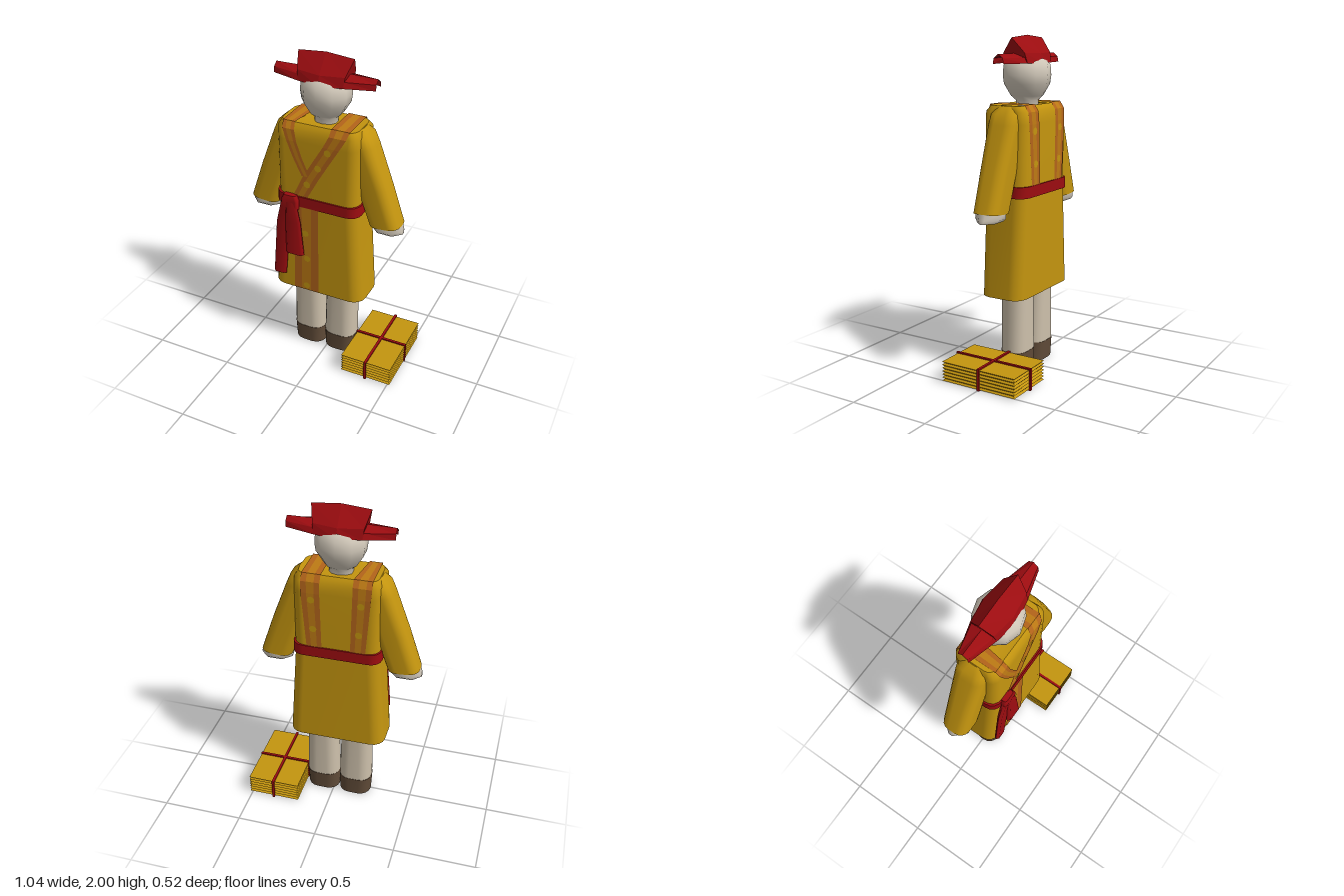
import * as THREE from 'three';

const mat = (name, color, side = THREE.FrontSide) => {
  const m = new THREE.MeshStandardMaterial({ color, side });
  m.name = name;
  return m;
};

const CX = -0.03; // centre line of the figure

// Rounded rectangle outline around a ring's centre
function outline({ y, cx, cz, hw, hd, r, tilt = 0 }, steps = 4) {
  const pts = [];
  r = Math.min(r, hw, hd);
  for (let c = 0; c < 4; c++) {
    const sx = c === 0 || c === 3 ? 1 : -1, sz = c < 2 ? 1 : -1;
    for (let i = 0; i <= steps; i++) {
      const a = (c + i / steps) * Math.PI / 2;
      const dx = sx * (hw - r) + r * Math.cos(a), dz = sz * (hd - r) + r * Math.sin(a);
      pts.push([cx + dx, y + tilt * dx, cz + dz]);
    }
  }
  return pts;
}

// Skin over rings listed from bottom to top, with optional end caps
function loft(rings, { top = true, bottom = true, topY = null, steps = 4 } = {}) {
  const loops = rings.map(r => outline(r, steps)), n = loops[0].length;
  const pos = loops.flat(2), idx = [];
  for (let j = 0; j < loops.length - 1; j++) for (let i = 0; i < n; i++) {
    const a = j * n + i, b = j * n + (i + 1) % n;
    idx.push(a, a + n, b, a + n, b + n, b);
  }
  const cap = (k, up) => {
    const base = pos.length / 3, g = rings[k];
    pos.push(...loops[k].flat(), g.cx, up && topY !== null ? topY : g.y, g.cz);
    for (let i = 0; i < n; i++) {
      const a = base + i, b = base + (i + 1) % n;
      idx.push(base + n, ...(up ? [b, a] : [a, b]));
    }
  };
  if (top) cap(rings.length - 1, true);
  if (bottom) cap(0, false);
  const geo = new THREE.BufferGeometry();
  geo.setAttribute('position', new THREE.Float32BufferAttribute(pos, 3));
  geo.setIndex(idx);
  geo.computeVertexNormals();
  return geo;
}

// Open sheet through equal-length rows of points
function sheet(rows) {
  const n = rows[0].length, idx = [];
  for (let j = 0; j < rows.length - 1; j++) for (let i = 0; i < n - 1; i++) {
    const a = j * n + i;
    idx.push(a, a + 1, a + n, a + 1, a + n + 1, a + n);
  }
  let geo = new THREE.BufferGeometry();
  geo.setAttribute('position', new THREE.Float32BufferAttribute(rows.flat(2), 3));
  geo.setIndex(idx);
  geo = geo.toNonIndexed();
  geo.computeVertexNormals();
  return geo;
}

// Robe profile: height, half width, front z, back z, corner radius
const ROBE = [
  [0.48, 0.3, 0.155, -0.132, 0.08], [1.1, 0.257, 0.152, -0.132, 0.07], [1.5, 0.255, 0.15, -0.132, 0.06],
  [1.57, 0.252, 0.145, -0.127, 0.05], [1.605, 0.235, 0.12, -0.1, 0.05],
];
const ring = ([y, hw, f, b, r], grow = 0) =>
  ({ y, cx: CX, cz: (f + b) / 2, hw: hw + grow, hd: (f - b) / 2 + grow, r });
function robeZ(y, k) {
  const i = Math.max(1, ROBE.findIndex(p => p[0] >= y)), p = ROBE[i - 1], q = ROBE[i];
  return THREE.MathUtils.lerp(p[k], q[k], (y - p[0]) / (q[0] - p[0]));
}

export function createModel() {
  const D = THREE.DoubleSide;
  const gold = mat('gold cloth', 0xc4950f, D), orange = mat('orange trim', 0xbd7a14, D);
  const rust = mat('rust trim edge', 0xb3641a, D), red = mat('red cloth', 0x9c0c10, D);
  const skin = mat('pale skin', 0xd2c9ba), linen = mat('linen', 0xcdc0ab), brown = mat('brown shoe', 0x604b38);
  const model = new THREE.Group();
  const add = (name, geo, m, x = 0, y = 0, z = 0) => {
    const mesh = new THREE.Mesh(geo, m);
    mesh.name = name;
    mesh.position.set(x, y, z);
    model.add(mesh);
    return mesh;
  };

  // Robe, with an open hem
  add('robe', loft(ROBE.map(p => ring(p)), { bottom: false, topY: 1.59 }), gold);

  // Sleeves, hands, legs and shoes on both sides
  for (const [s, side] of [[1, 'left'], [-1, 'right']]) {
    const limb = (y, inner, outer, hd, r, tilt = 0, cz = 0) =>
      ({ y, cx: CX + s * (inner + outer) / 2, cz, hw: (outer - inner) / 2, hd, r, tilt: s * tilt });
    add(side + 'Sleeve', loft([
      limb(1.012, 0.295, 0.485, 0.085, 0.06, 0.08), limb(1.25, 0.21, 0.405, 0.088, 0.06, 0.05),
      limb(1.5, 0.13, 0.312, 0.095, 0.06), limb(1.56, 0.13, 0.287, 0.092, 0.06), limb(1.602, 0.13, 0.24, 0.065, 0.05),
    ]), gold);
    add(side + 'Hand', loft([
      limb(0.965, 0.305, 0.495, 0.06, 0.05), limb(0.985, 0.3, 0.493, 0.08, 0.06), limb(1.016, 0.3, 0.482, 0.082, 0.06, 0.08),
    ], { steps: 1 }), skin);
    add(side + 'Leg', loft([limb(0.12, 0.003, 0.21, 0.083, 0.07), limb(0.56, 0.014, 0.206, 0.083, 0.07)]), linen);
    add(side + 'Shoe', loft([limb(0, 0.003, 0.206, 0.08, 0.07), limb(0.12, 0.003, 0.211, 0.085, 0.07)]), brown);
  }

  // Head and neck
  const profile = [[0.07, 1.57], [0.07, 1.625], [0.1, 1.65], [0.143, 1.72], [0.15, 1.77], [0.145, 1.83], [0.1, 1.875], [0, 1.9]]
    .map(p => new THREE.Vector2(...p));
  add('head', new THREE.LatheGeometry(profile, 10), skin, CX).scale.z = 0.93;

  // Folded hat: base x, shoulder x, ridge x, half depth, shoulder y, ridge y
  const half = [
    [0.31, 0.31, 0.31, 0.035, 1.873, 1.895], [0.14, 0.14, 0.145, 0.083, 1.873, 1.897],
    [0.135, 0.145, 0.17, 0.085, 1.9, 1.985], [0, 0, 0, 0.11, 1.895, 2],
  ];
  const flip = p => p.map((v, i) => (i < 3 ? -v : v));
  const hatRows = [...half.map(flip), ...half.slice(0, 3).reverse()].map(([b, m, t, h, my, ty]) => [
    [CX + b, 1.84, -h], [CX + m, my, -0.83 * h], [CX + t, ty, 0], [CX + m, my, 0.83 * h], [CX + b, 1.84, h],
  ]);
  for (const row of hatRows) row.reverse();
  add('hat', sheet(hatRows), red);

  // Sash with two hanging tails and a knot
  add('sash', loft([[1.08, 0.259, 0.152, -0.132, 0.07], [1.147, 0.257, 0.152, -0.132, 0.07]].map(p => ring(p, 0.009))), red);
  const fold = (y, cx, hw, cz, hd) => ({ y, cx, cz, hw, hd, r: 0.015 });
  add('longSashTail', loft([
    fold(0.58, -0.268, 0.042, 0.168, 0.016), fold(0.95, -0.235, 0.045, 0.17, 0.016), fold(1.12, -0.195, 0.045, 0.172, 0.018),
  ], { steps: 1 }), red);
  add('shortSashTail', loft([
    fold(0.76, -0.153, 0.058, 0.184, 0.02), fold(0.98, -0.165, 0.05, 0.182, 0.018), fold(1.12, -0.18, 0.035, 0.177, 0.016),
  ], { steps: 1 }), red);
  add('sashKnot', loft([
    fold(1.06, -0.185, 0.05, 0.168, 0.02), fold(1.12, -0.185, 0.055, 0.172, 0.022), fold(1.155, -0.185, 0.04, 0.165, 0.02),
  ]), red);

  // Trim bands lying on the cloth: each point is [y, x1, x2]
  const band = (name, front, back = []) => {
    const lift = 0.005;
    const path = [
      ...front.map(([y, a, b]) => [a, b, y > 1.6 ? y + lift : y, robeZ(y, 2) + lift]),
      ...back.map(([y, a, b]) => [a, b, y > 1.6 ? y + lift : y, robeZ(y, 3) - lift]),
    ];
    const strip = (f, g) => sheet(path.map(([a, b, y, z]) =>
      [[a + (b - a) * f, y, z], [a + (b - a) * g, y, z]]));
    add(name + 'Middle', strip(0.3, 0.7), orange);
    add(name + 'InnerEdge', strip(0, 0.3), rust);
    add(name + 'OuterEdge', strip(0.7, 1), rust);
  };
  band('leftCollar',
    [[1.15, -0.17, -0.08], [1.28, -0.11, -0.01], [1.4, -0.04, 0.06], [1.5, 0.02, 0.12], [1.57, 0.055, 0.16], [1.605, 0.06, 0.172]],
    [[1.605, 0.06, 0.172], [1.57, 0.06, 0.172], [1.5, 0.06, 0.17], [1.14, 0.05, 0.14]]);
  band('rightCollar',
    [[1.29, -0.115, -0.06], [1.4, -0.17, -0.11], [1.5, -0.21, -0.145], [1.57, -0.235, -0.16], [1.605, -0.24, -0.165]],
    [[1.605, -0.24, -0.13], [1.57, -0.24, -0.13], [1.5, -0.236, -0.13], [1.14, -0.21, -0.12]]);
  band('skirtPanel', [[0.485, -0.177, -0.012], [1.08, -0.163, -0.01]]);

  // Round gold patches on the trim
  const dots = [[-0.09, 0.52], [-0.085, 0.72], [-0.095, 0.9], [-0.01, 1.36], [0.05, 1.47], [-0.08, 1.24]];
  for (const [x, y] of dots) add('frontPatch', new THREE.CircleGeometry(0.022, 8), gold, x, y, robeZ(y, 2) + 0.008);
  for (const [x, y] of [[-0.18, 1.46], [-0.17, 1.27], [0.11, 1.46], [0.1, 1.27]])
    add('backPatch', new THREE.CircleGeometry(0.022, 8), gold, x, y, robeZ(y, 3) - 0.008).rotation.y = Math.PI;

  // Stack of folded sheets with pleated edges
  const bx = 0.352, layers = 6, pleats = [];
  for (let i = 0; i <= layers * 2; i++) {
    const inset = i % 2 ? 0.011 : 0;
    pleats.push({ y: 0.008 + i * 0.117 / (layers * 2), cx: bx, cz: 0, hw: 0.164 - inset, hd: 0.25 - inset, r: 0.001 });
  }
  const stack = loft(pleats, { steps: 1 }).toNonIndexed();
  stack.computeVertexNormals();
  add('sheetStack', stack, gold);

  // Cords tied around the stack both ways
  for (const [along, name] of [['z', 'longCord'], ['x', 'shortCord']]) {
    const reach = along === 'z' ? 0.256 : 0.164, w = 0.016, t = 0.008;
    const bar = (len, h, u, y) => along === 'z'
      ? add(name, new THREE.BoxGeometry(w, h, len), red, bx, y, u)
      : add(name, new THREE.BoxGeometry(len, h, w), red, bx + u, y, -0.005);
    for (const y of [0.004, 0.129]) bar(2 * reach + t, t, 0, y);
    for (const s of [-1, 1]) bar(t, 0.125, s * reach, 0.0665);
  }
  return model;
}
